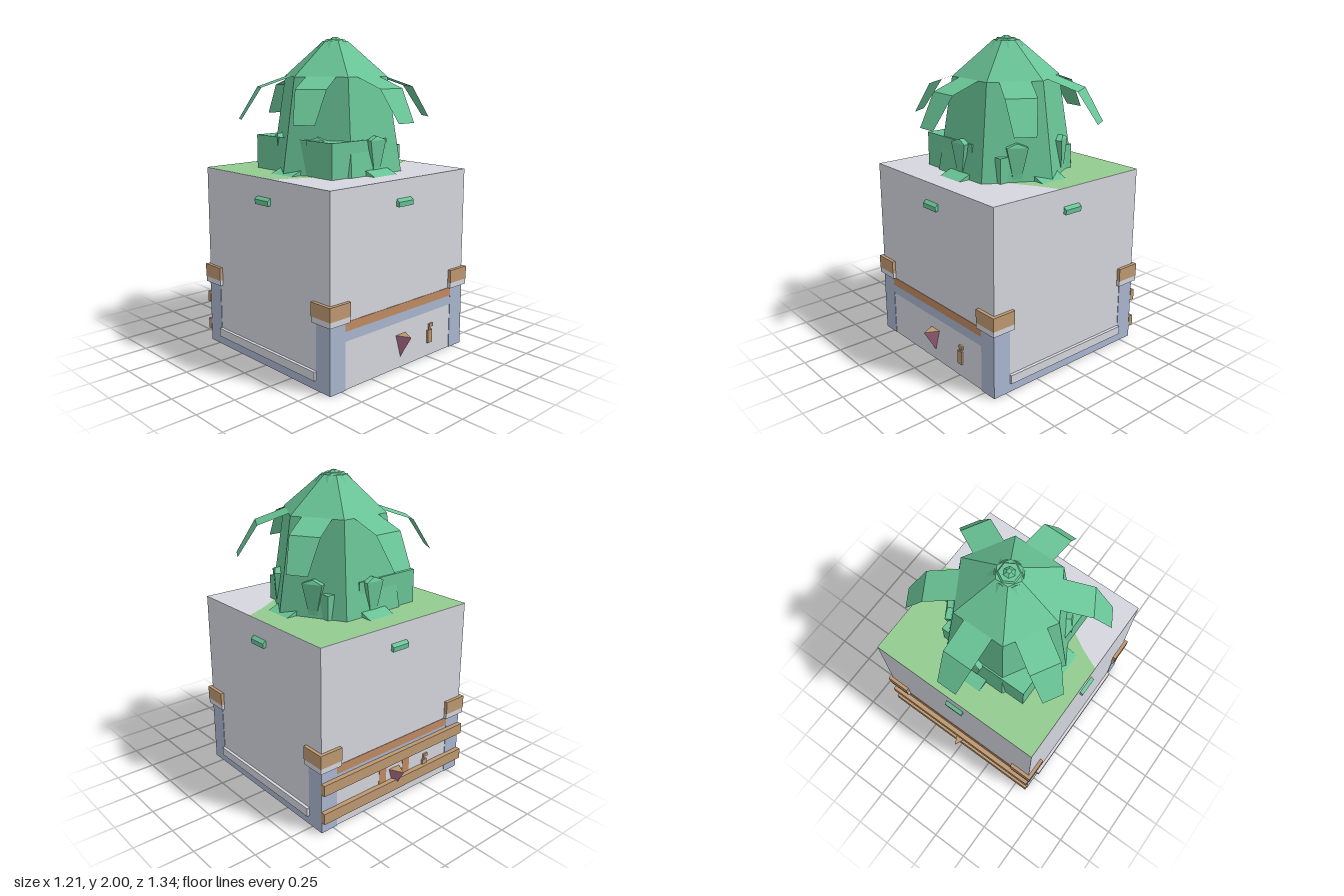
import * as THREE from 'three';
import { ConvexGeometry } from 'three/addons/geometries/ConvexGeometry.js';

const paint = (color) => new THREE.MeshStandardMaterial({ color, flatShading: true, side: THREE.DoubleSide });
const GREY = paint(0xd4d6de), BLUE = paint(0xaab6d0), WOOD = paint(0xbd9871), GREEN = paint(0x69c496);
const GRASS = paint(0x94cb90), PINK = paint(0xb06c8c), SOIL = paint(0x6e5c42), ORANGE = paint(0xc08a62);

export function createModel() {
  const model = new THREE.Group();

  const add = (name, geometry, material, parent = model) => {
    const mesh = new THREE.Mesh(geometry, material);
    mesh.name = name;
    parent.add(mesh);
    return mesh;
  };
  // Box given by its limits on each axis
  const block = (name, [x0, x1], [y0, y1], [z0, z1], material, parent) => {
    const g = new THREE.BoxGeometry(x1 - x0, y1 - y0, z1 - z0);
    g.translate((x0 + x1) / 2, (y0 + y1) / 2, (z0 + z1) / 2);
    return add(name, g, material, parent);
  };
  const hull = (name, pts, material, parent) =>
    add(name, new ConvexGeometry(pts.map((p) => new THREE.Vector3(...p))), material, parent);
  // Flat horizontal patch from x, z points
  const patch = (name, pts, y, material) => {
    const g = new THREE.ShapeGeometry(new THREE.Shape(pts.map(([x, z]) => new THREE.Vector2(x, -z))));
    g.rotateX(-Math.PI / 2).translate(0, y, 0);
    return add(name, g, material);
  };
  // Copies turned evenly about the vertical axis
  const around = (name, count, build) => {
    for (let i = 0; i < count; i++) {
      const group = new THREE.Group();
      group.name = name;
      group.rotation.y = (i * Math.PI * 2) / count;
      build(group);
      model.add(group);
    }
  };
  // Six-sided frustum with corners on the x axis
  const hex = (name, rTop, rBottom, y0, y1, turn = Math.PI / 6) => {
    const g = new THREE.CylinderGeometry(rTop, rBottom, y1 - y0, 6);
    g.rotateY(turn).translate(0, (y0 + y1) / 2, 0);
    return add(name, g, GREEN);
  };

  // Base block with grass and soil patches
  block('baseBlock', [-0.585, 0.585], [0.002, 1.175], [-0.585, 0.585], GREY);
  patch('grassTop', [[-0.585, -0.585], [0.585, -0.585], [0.585, 0.09], [0.455, 0.15], [0.2, 0.3],
    [-0.2, 0.3], [-0.455, 0.15], [-0.585, 0.09]], 1.177, GRASS);
  const soil = [];
  for (let i = 0; i < 18; i++) {
    const r = [0.44, 0.36, 0.4][i % 3], a = (i * Math.PI) / 9;
    soil.push([r * Math.sin(a), r * Math.cos(a)]);
  }
  patch('soilPatch', soil, 0, SOIL);

  // Corner posts and caps
  for (const sx of [-1, 1]) for (const sz of [-1, 1]) {
    const span = (s, a, b) => (s > 0 ? [a, b] : [-b, -a]);
    block('cornerPost', span(sx, 0.47, 0.588), [0, 0.41], span(sz, 0.47, 0.588), BLUE);
    block('capFoot', span(sx, 0.447, 0.605), [0.41, 0.445], span(sz, 0.447, 0.605), GREY);
    block('cornerCap', span(sx, 0.447, 0.607), [0.445, 0.53], span(sz, 0.447, 0.607), WOOD);
  }

  // Front and back: lintel, pointed bracket and latch
  around('endWall', 2, (g) => {
    block('lintel', [-0.47, 0.47], [0.355, 0.41], [0.57, 0.588], ORANGE, g);
    block('lintelShade', [-0.47, 0.47], [0.295, 0.355], [0.57, 0.587], BLUE, g);
    hull('bracket', [[-0.045, 0.213, 0.58], [0.045, 0.213, 0.58], [0, 0.213, 0.67], [0, 0.07, 0.585]], PINK, g);
    hull('bracketTop', [[-0.045, 0.213, 0.58], [0.045, 0.213, 0.58], [0, 0.213, 0.67], [-0.045, 0.216, 0.58],
      [0.045, 0.216, 0.58], [0, 0.216, 0.67]], WOOD, g);
    block('latchPlate', [0.247, 0.287], [0.09, 0.175], [0.58, 0.597], WOOD, g);
    block('latchStem', [0.258, 0.276], [0.175, 0.2], [0.58, 0.594], WOOD, g);
    block('latchKnob', [0.258, 0.295], [0.195, 0.215], [0.58, 0.597], WOOD, g);
  });
  for (const y of [0.075, 0.265])
    block('backPlank', [-0.59, 0.59], [y, y + 0.07], [-0.618, -0.586], WOOD);
  for (const x of [-0.13, 0.07])
    block('backStud', [x, x + 0.06], [0.08, 0.3], [-0.588, -0.57], ORANGE);

  // Sides: skirting and ledge
  around('sideWall', 2, (g) => {
    block('skirting', [0.57, 0.588], [0, 0.06], [-0.47, 0.47], BLUE, g);
    block('ledge', [0.57, 0.605], [0.06, 0.115], [-0.47, 0.47], GREY, g);
  });

  // Sloping tabs and foot ramps on four sides
  around('sideTrim', 4, (g) => {
    hull('tab', [-0.055, 0.07].flatMap((x) => [[x, 1.065, 0.58], [x, 1.045, 0.607], [x, 1.015, 0.605], [x, 1.02, 0.58]]), GREEN, g);
    hull('footRamp', [-0.095, 0.095].flatMap((x) => [[x, 1.215, 0.35], [x, 1.176, 0.35], [x, 1.176, 0.447]]), GREEN, g);
  });

  // Hexagonal tower and roof
  hex('towerWall', 0.335, 0.43, 1.176, 1.76);
  hex('towerRoof', 0.08, 0.335, 1.76, 1.975);
  hex('roofCap', 0.06, 0.085, 1.955, 1.985, 0);
  hex('roofKnob', 0.015, 0.035, 1.985, 2);
  block('annex', [-0.355, 0.1], [1.176, 1.39], [-0.352, 0.352], GREEN);
  for (const s of [-1, 1])
    block('buttress', [0.24, 0.29], [1.176, 1.33], s > 0 ? [0.2, 0.29] : [-0.29, -0.2], GREEN);

  // One star point, drooping leaf and hooded pillar per tower face
  around('towerFace', 6, (g) => {
    hull('starPoint', [[0, 1.89, 0.15], [0, 1.975, 0.08], [0.045, 1.96, 0.078], [-0.045, 1.96, 0.078], [0, 1.88, 0]], GREEN, g);
    const leaf = new THREE.PlaneGeometry(1, 1, 1, 2);
    [[0.095, 1.765, 0.28], [0.095, 1.695, 0.48], [0.065, 1.5, 0.602]].forEach(([w, y, z], i) => {
      leaf.attributes.position.setXYZ(2 * i, -w, y, z);
      leaf.attributes.position.setXYZ(2 * i + 1, w, y, z);
    });
    leaf.computeVertexNormals();
    add('leaf', leaf, GREEN, g);
    block('pillar', [-0.03, 0.03], [1.176, 1.36], [0.3, 0.37], GREEN, g);
    hull('pillarHood', [[-0.03, 1.22, 0.3], [0.03, 1.22, 0.3], [-0.03, 1.22, 0.372], [0.03, 1.22, 0.372],
      [-0.065, 1.385, 0.3], [0.065, 1.385, 0.3], [-0.065, 1.385, 0.382], [0.065, 1.385, 0.382],
      [0, 1.41, 0.3], [0, 1.41, 0.37]], GREEN, g);
  });

  return model;
}
